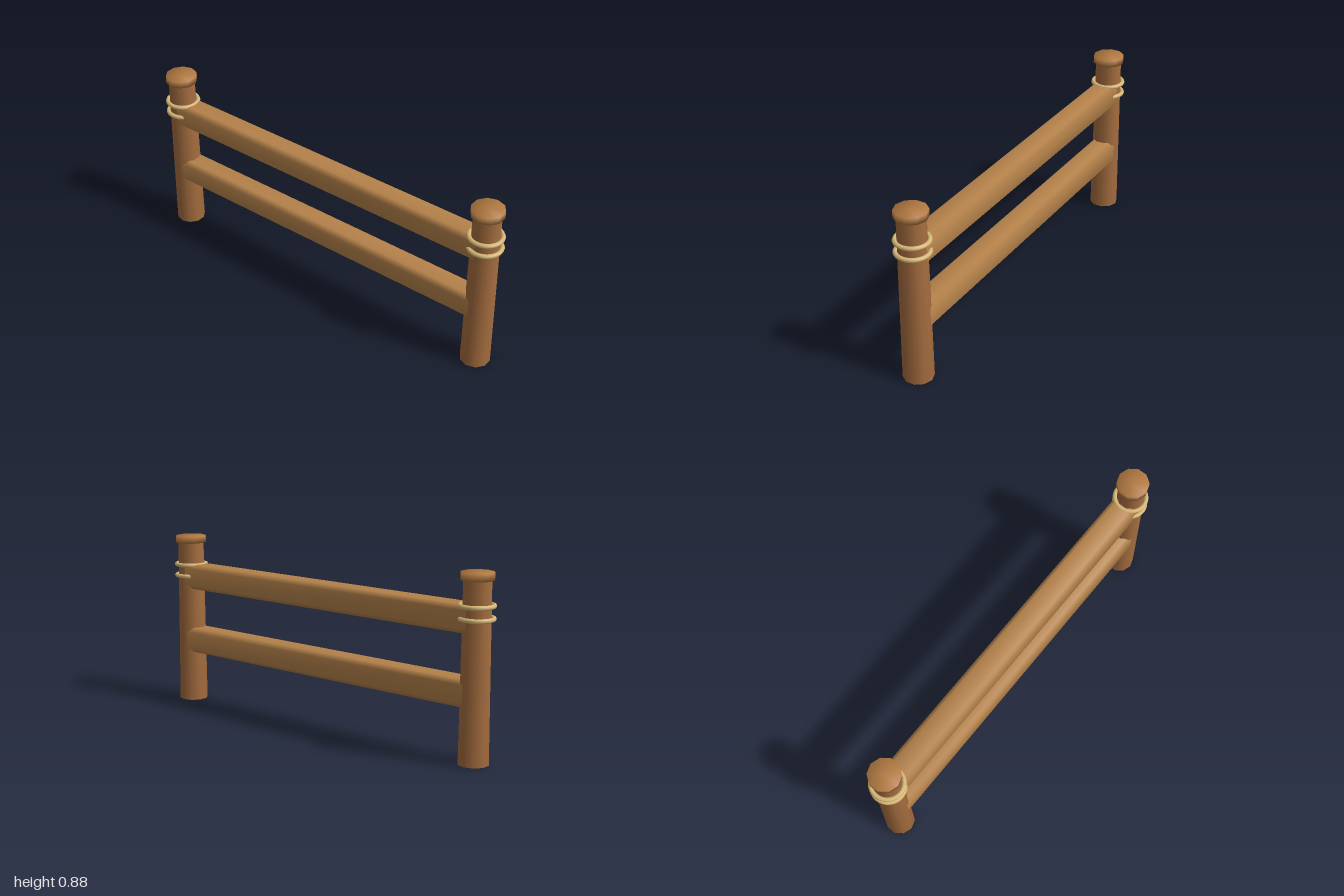
import * as THREE from 'three';
import { mergeVertices } from 'three/addons/utils/BufferGeometryUtils.js';

const mat = (color) => new THREE.MeshStandardMaterial({ color });
const postWood = mat(0xa56d3f);
const capWood = mat(0xb07840);
const railWood = mat(0xb5824a);
const ropeFibre = mat(0xd8b878);

// Share vertices so the shading rolls softly over the edges
function soften(geometry) {
  geometry.deleteAttribute('uv');
  geometry.deleteAttribute('normal');
  const merged = mergeVertices(geometry, 1e-4);
  merged.computeVertexNormals();
  return merged;
}

function add(parent, name, geometry, material, x, y) {
  const mesh = new THREE.Mesh(geometry, material);
  mesh.name = name;
  mesh.position.set(x, y, 0);
  parent.add(mesh);
  return mesh;
}

// Rail with a chamfered rectangular section, running along x
function railGeometry(length, height, depth, chamfer) {
  const h = height / 2, d = depth / 2, c = chamfer;
  const section = new THREE.Shape([
    [d, -h + c], [d, h - c], [d - c, h], [-d + c, h],
    [-d, h - c], [-d, -h + c], [-d + c, -h], [d - c, -h],
  ].map(([x, y]) => new THREE.Vector2(x, y)));
  const geometry = new THREE.ExtrudeGeometry(section, { depth: length, bevelEnabled: false });
  geometry.translate(0, 0, -length / 2).rotateY(Math.PI / 2);
  return soften(geometry);
}

export function createModel() {
  const model = new THREE.Group();
  model.name = 'fence';

  const postX = 0.912;
  const postGeo = soften(new THREE.CylinderGeometry(0.066, 0.073, 0.85, 10));
  const capGeo = soften(new THREE.CylinderGeometry(0.0785, 0.0785, 0.035, 10));
  const ropeGeo = new THREE.TorusGeometry(0.0765, 0.011, 8, 28).rotateX(Math.PI / 2);

  // Posts, each with a cap and two rope rings
  for (const [side, sign] of [['left', 1], ['right', -1]]) {
    const post = new THREE.Group();
    post.name = `${side}PostAssembly`;
    post.position.x = sign * postX;
    add(post, `${side}Post`, postGeo, postWood, 0, 0.425);
    add(post, `${side}Cap`, capGeo, capWood, 0, 0.8575);
    add(post, `${side}LowerRope`, ropeGeo, ropeFibre, 0, 0.667);
    add(post, `${side}UpperRope`, ropeGeo, ropeFibre, 0, 0.725);
    model.add(post);
  }

  // Rails, let into the posts at both ends
  const railGeo = railGeometry(1.8, 0.13, 0.125, 0.022);
  add(model, 'lowerRail', railGeo, railWood, 0, 0.327);
  add(model, 'upperRail', railGeo, railWood, 0, 0.665);

  return model;
}
